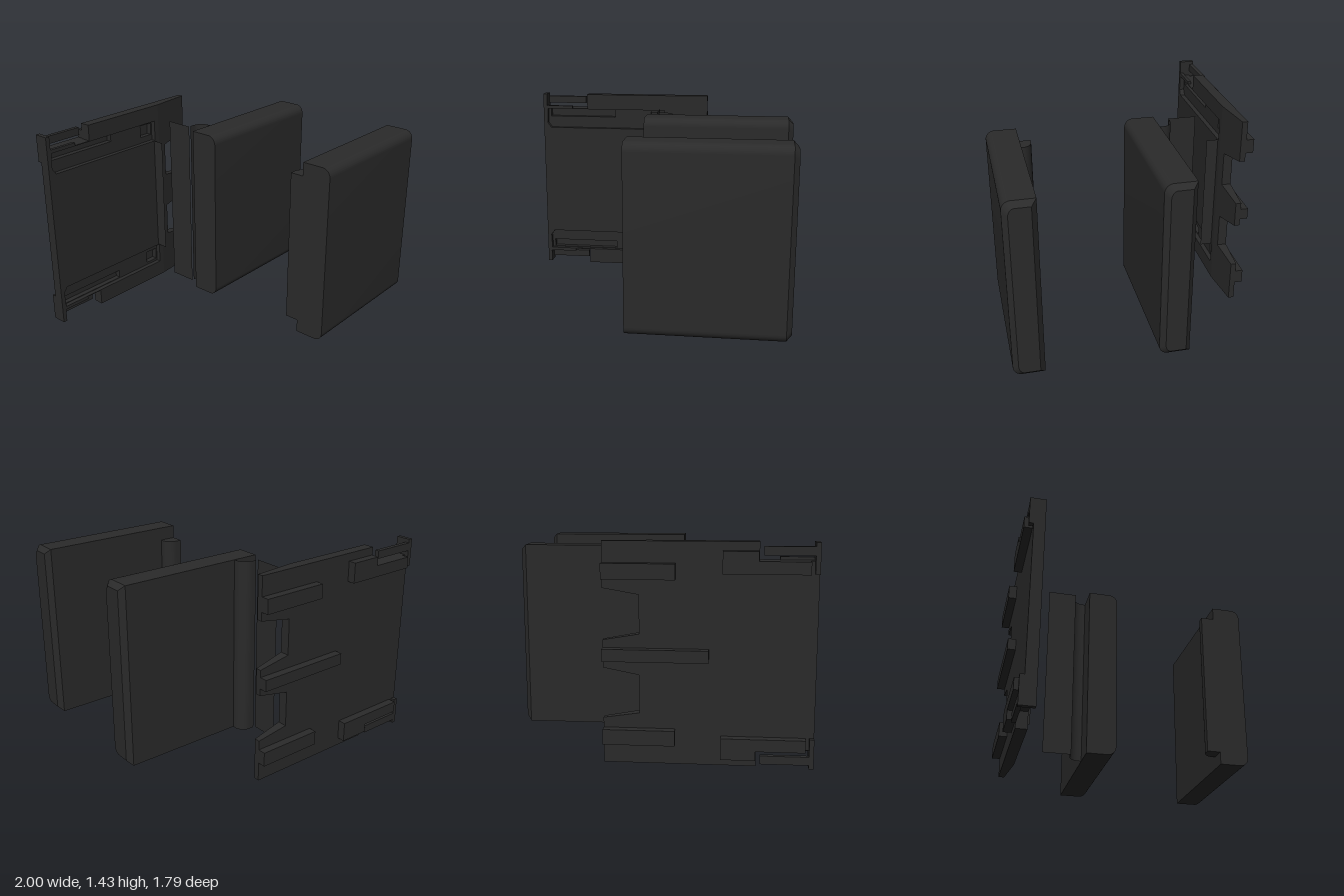
import * as THREE from 'three';
import { toCreasedNormals } from 'three/addons/utils/BufferGeometryUtils.js';

const dark = new THREE.MeshStandardMaterial({ color: 0x2a2a2a });
const darkSheet = new THREE.MeshStandardMaterial({ color: 0x2a2a2a, side: THREE.DoubleSide });

export function createModel() {
  const model = new THREE.Group();
  const H = 1.435; // height of the mounting plate

  function add(name, geometry, material = dark) {
    const mesh = new THREE.Mesh(geometry, material);
    mesh.name = name;
    model.add(mesh);
  }

  function box(name, x0, x1, y0, y1, z0, z1) {
    const g = new THREE.BoxGeometry(x1 - x0, y1 - y0, z1 - z0);
    add(name, g.translate((x0 + x1) / 2, (y0 + y1) / 2, (z0 + z1) / 2));
  }

  const polygon = (pts) => new THREE.Shape(pts.map(([x, y]) => new THREE.Vector2(x, y)));

  // Slab with rounded front edges and a chamfer around its +x end
  function slab(name, zBack, zFront) {
    const y0 = 0.085, y1 = 1.355, x0 = -0.075, x1 = 1, c = 0.035, r = 0.06;
    const s = new THREE.Shape();
    s.moveTo(-zBack, y0);
    s.lineTo(-zBack, y1);
    s.lineTo(-zFront + r, y1);
    s.absarc(-zFront + r, y1 - r, r, Math.PI / 2, Math.PI, false);
    s.lineTo(-zFront, y0 + r);
    s.absarc(-zFront + r, y0 + r, r, Math.PI, Math.PI * 1.5, false);
    const g = new THREE.ExtrudeGeometry(s, { depth: 1, steps: 2, bevelEnabled: false, curveSegments: 8 });
    const p = g.attributes.position;
    const midA = -(zBack + zFront) / 2, midY = (y0 + y1) / 2;
    const kA = 1 - (2 * c) / (zFront - zBack), kY = 1 - (2 * c) / (y1 - y0);
    for (let i = 0; i < p.count; i++) {
      const t = p.getZ(i);
      if (t > 0.9) {
        p.setXYZ(i, midA + (p.getX(i) - midA) * kA, midY + (p.getY(i) - midY) * kY, x1);
      } else {
        p.setZ(i, t > 0.4 ? x1 - c : x0);
      }
    }
    g.rotateY(Math.PI / 2);
    g.computeVertexNormals();
    add(name, toCreasedNormals(g, 0.5));
  }
  slab('frontSlab', 0.685, 0.895);
  slab('middleSlab', -0.29, -0.08);

  // Quarter-round hinge ridge on the back of the front slab
  const r = 0.075;
  const ridge = new THREE.Shape();
  ridge.moveTo(-0.075, -0.685);
  ridge.lineTo(0.04, -0.685);
  ridge.lineTo(0.04, -0.59 - r);
  ridge.absarc(0.04 - r, -0.59 - r, r, 0, Math.PI / 2, false);
  ridge.lineTo(-0.075, -0.59);
  const ridgeGeo = new THREE.ExtrudeGeometry(ridge, { depth: 1.085, bevelEnabled: false, curveSegments: 8 });
  ridgeGeo.rotateX(-Math.PI / 2).translate(0, 0.175, 0);
  add('hingeRidge', toCreasedNormals(ridgeGeo, 0.5));

  // Open sheet: an (x, z) path carried straight up
  function sheet(name, path, y0, y1) {
    const pos = [];
    for (let i = 0; i + 1 < path.length; i++) {
      const [ax, az] = path[i], [bx, bz] = path[i + 1];
      pos.push(ax, y0, az, bx, y0, bz, bx, y1, bz, ax, y0, az, bx, y1, bz, ax, y1, az);
    }
    const g = new THREE.BufferGeometry();
    g.setAttribute('position', new THREE.Float32BufferAttribute(pos, 3));
    g.computeVertexNormals();
    add(name, toCreasedNormals(g, 0.5), darkSheet);
  }
  const roll = [[0.11, -0.29]];
  for (let i = 0; i <= 8; i++) {
    const a = (i / 8) * Math.PI / 2;
    roll.push([0.11 - r + r * Math.cos(a), -0.385 + r - r * Math.sin(a)]);
  }
  roll.push([0, -0.385]);
  sheet('spineRoll', roll, 0.085, 1.355);
  sheet('spineFlange', [[-0.015, -0.385], [-0.015, -0.585]], 0.085, 1.355);
  sheet('plateFlange', [[-0.01, -0.68], [-0.01, -0.765]], 0.28, 1.16);

  // Mounting plate in two layers: the front one has shallow channels,
  // the back one has pocket openings inside them
  const zFront = -0.765, zMid = -0.8, zBack = -0.84;
  const flip = ([x, y]) => [x, H - y];
  const half = [[0.04, H], [-0.635, H], [-0.635, 1.32], [-0.97, 1.32], [-0.97, H], [-1, H]];
  const outline = [...half, ...half.map(flip).reverse()];
  const channel = [[-0.97, 1.2], [-0.94, 1.16], [0, 1.16], [0, 1.315], [-0.965, 1.315]];
  const pocket = [[-0.945, 1.25], [-0.41, 1.25], [-0.41, 1.31], [-0.945, 1.31]];
  const ribSlot = [[-0.115, 1.205], [-0.01, 1.205], [-0.01, 1.295], [-0.115, 1.295]];
  function layer(name, z0, z1, holes) {
    const s = polygon(outline);
    for (const h of holes) s.holes.push(polygon(h), polygon(h.map(flip)));
    const g = new THREE.ExtrudeGeometry(s, { depth: z1 - z0, bevelEnabled: false });
    add(name, g.translate(0, 0, z0));
  }
  layer('plateFrontLayer', zMid, zFront, [channel]);
  layer('plateBackLayer', zBack, zMid, [pocket, ribSlot]);

  // Forked end of the plate, thinning towards +x
  const fork = polygon([
    [0.04, 0], [0.342, 0], [0.342, 0.3], [0.11, 0.335], [0.11, 0.585], [0.342, 0.63],
    [0.342, 0.81], [0.11, 0.85], [0.11, 1.1], [0.342, 1.14], [0.342, H], [0.04, H],
  ]);
  const forkGeo = new THREE.ExtrudeGeometry(fork, { depth: zFront - zBack, bevelEnabled: false });
  forkGeo.translate(0, 0, zBack);
  const fp = forkGeo.attributes.position;
  for (let i = 0; i < fp.count; i++) {
    if (fp.getZ(i) > zMid) fp.setZ(i, zFront - (fp.getX(i) - 0.04) * 0.117);
  }
  forkGeo.computeVertexNormals();
  add('plateFork', forkGeo);

  // Ribs, pocket covers, end lips and latch arms, mirrored top to bottom
  function pair(name, x0, x1, y0, y1, z0, z1) {
    box(name + 'Upper', x0, x1, y0, y1, z0, z1);
    box(name + 'Lower', x0, x1, H - y1, H - y0, z0, z1);
  }
  pair('sideRib', -0.12, 0.342, 1.2, 1.3, -0.895, zBack);
  pair('pocketCover', -0.945, -0.41, 1.24, 1.32, -0.895, zBack);
  pair('coverStep', -0.63, -0.41, 1.32, 1.38, -0.895, zBack);
  pair('latchArm', -0.97, -0.66, 1.355, 1.41, -0.87, zBack);
  pair('endLip', -1, -0.97, 1.24, H, -0.87, zBack);
  pair('edgeStrip', -0.97, -0.76, 1.32, 1.34, -0.79, zFront);
  box('middleRib', -0.33, 0.342, 0.68, 0.76, -0.895, zBack);

  return model;
}
